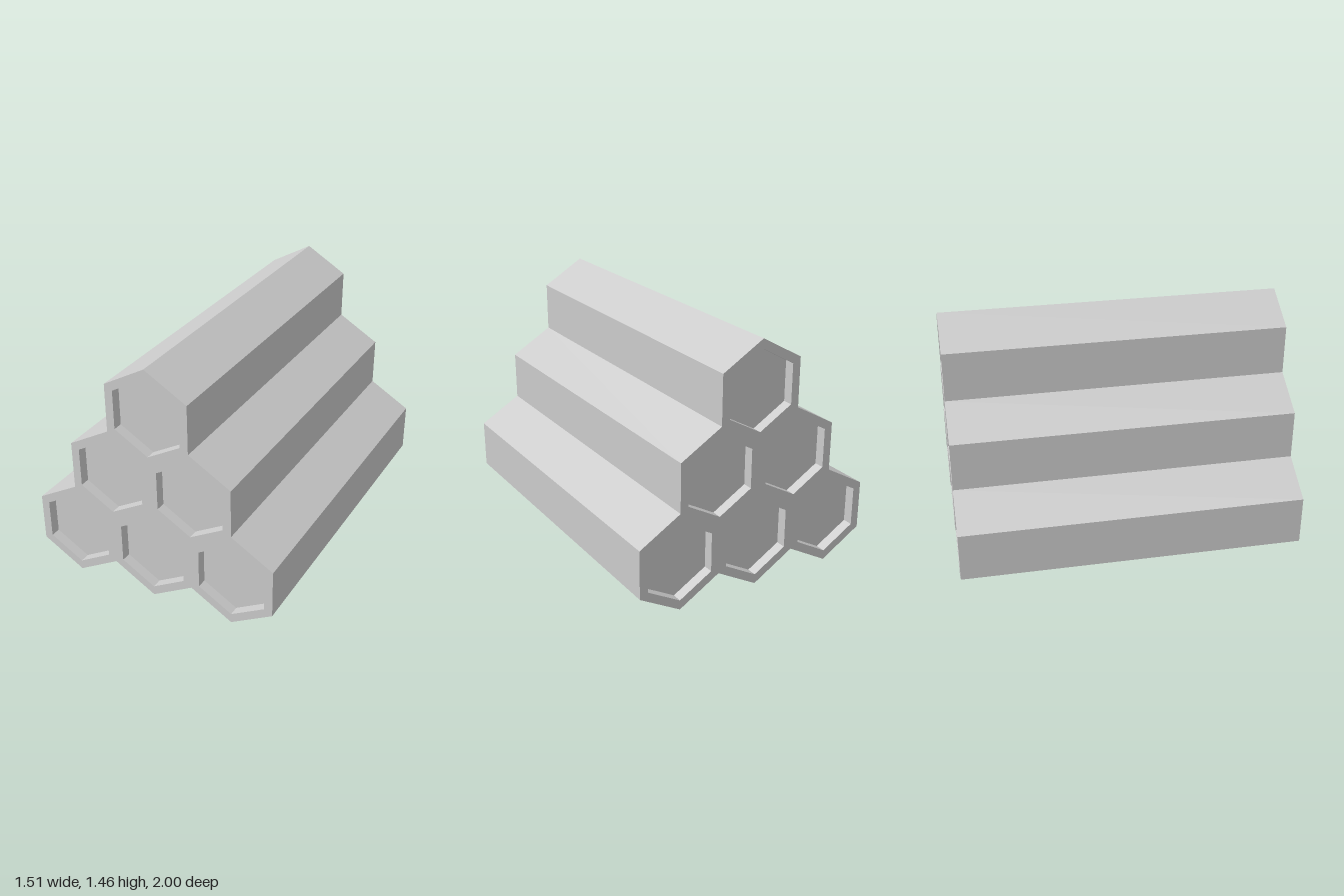
import * as THREE from 'three';

const R = 0.2912;                  // outer hexagon corner radius
const A = R * Math.sqrt(3) / 2;    // half width across the flats
const r = 0.234;                   // recess corner radius
const HALF = 1;                    // half length of the stack
const DEPTH = 0.06;                // recess depth

const material = new THREE.MeshStandardMaterial({ color: 0xcccccc, flatShading: true });

function mesh(name, geometry) {
  const m = new THREE.Mesh(geometry, material);
  m.name = name;
  return m;
}

// Flat walls along a closed loop; counter-clockwise loops face outward.
function wallGeometry(points, z0, z1) {
  const pos = [];
  points.forEach((p, i) => {
    const q = points[(i + 1) % points.length];
    pos.push(p.x, p.y, z0, q.x, q.y, z0, q.x, q.y, z1);
    pos.push(p.x, p.y, z0, q.x, q.y, z1, p.x, p.y, z1);
  });
  const g = new THREE.BufferGeometry();
  g.setAttribute('position', new THREE.Float32BufferAttribute(pos, 3));
  g.computeVertexNormals();
  return g;
}

// Pointy-topped hexagon, counter-clockwise
function hexagon(cx, cy, radius) {
  return Array.from({ length: 6 }, (_, i) => {
    const t = Math.PI / 2 + i * Math.PI / 3;
    return new THREE.Vector2(cx + radius * Math.cos(t), cy + radius * Math.sin(t));
  });
}

// Silhouette of the 3-2-1 stack: right half in multiples of (A, R), then mirrored
function stackOutline() {
  const right = [[0, 0], [1, 0.5], [2, 0], [3, 0.5], [3, 1.5], [2, 2], [2, 3], [1, 3.5], [1, 4.5], [0, 5]];
  const left = right.slice(1, -1).reverse().map(([x, y]) => [-x, y]);
  return [...right, ...left].map(([x, y]) => new THREE.Vector2(x * A, y * R));
}

// One end face: rim with six recessed hexagonal cells
function createEnd(outline, cells) {
  const end = new THREE.Group();
  const rim = new THREE.Shape(outline);
  rim.holes = cells.map((c) => new THREE.Path([...c].reverse()));
  const face = mesh('rim', new THREE.ShapeGeometry(rim));
  face.position.z = HALF;
  end.add(face);
  cells.forEach((c) => {
    const cell = new THREE.Group();
    cell.name = 'cellRecess';
    const floor = mesh('recessFloor', new THREE.ShapeGeometry(new THREE.Shape(c)));
    floor.position.z = HALF - DEPTH;
    cell.add(floor, mesh('recessWall', wallGeometry([...c].reverse(), HALF - DEPTH, HALF)));
    end.add(cell);
  });
  return end;
}

export function createModel() {
  const model = new THREE.Group();
  model.name = 'hexagonalPrismStack';
  const outline = stackOutline();

  // Cell positions: rows of three, two and one
  const cells = [];
  for (let row = 0; row < 3; row++) {
    for (let i = 0; i < 3 - row; i++) {
      cells.push(hexagon(A * (2 * i - 2 + row), R * (1 + 1.5 * row), r));
    }
  }

  // Long outer sides
  model.add(mesh('outerSides', wallGeometry(outline, -HALF, HALF)));

  // Front and back ends
  const front = createEnd(outline, cells);
  front.name = 'frontEnd';
  const back = createEnd(outline, cells);
  back.name = 'backEnd';
  back.rotation.y = Math.PI;
  model.add(front, back);
  return model;
}
